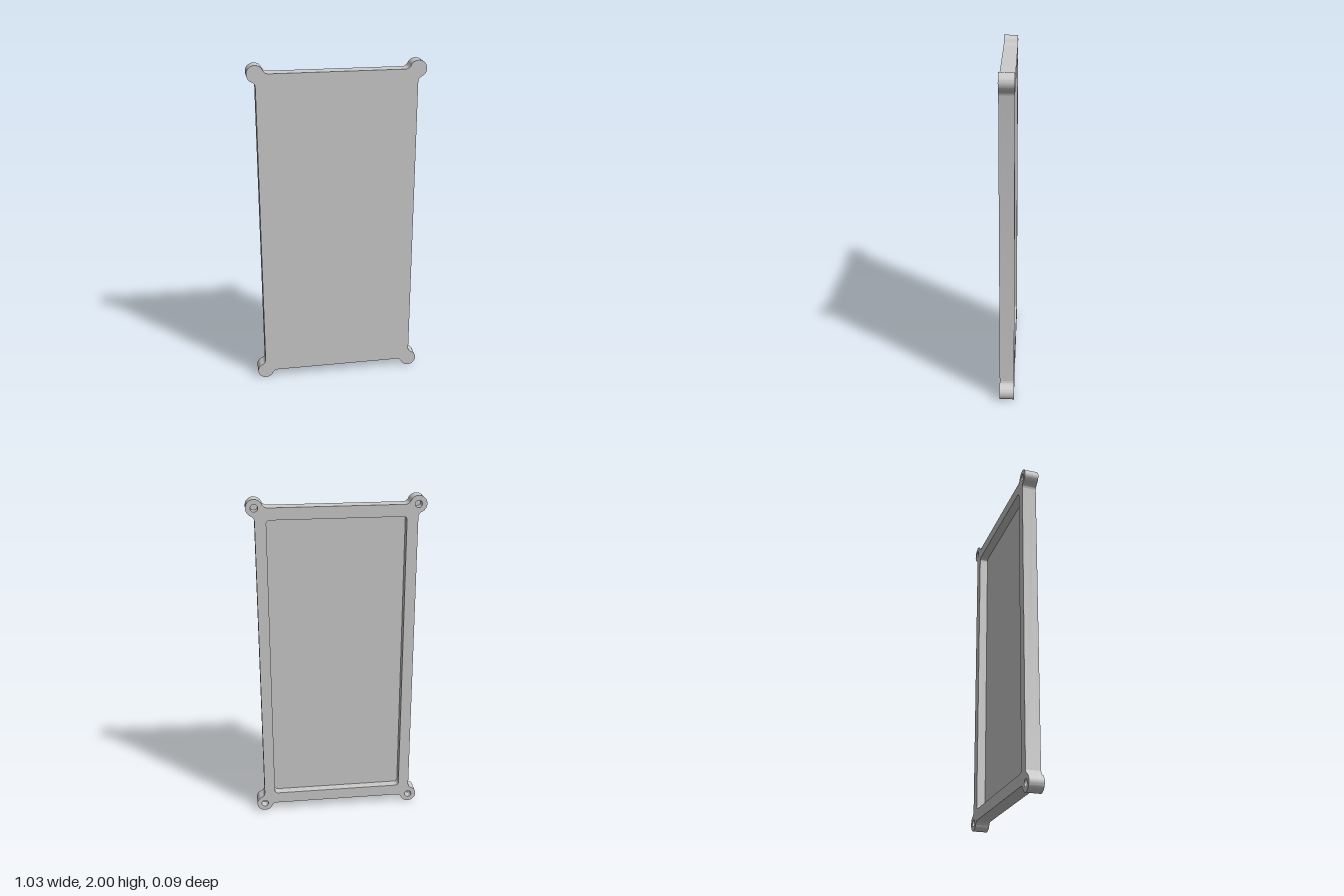
import * as THREE from 'three';
import { toCreasedNormals } from 'three/addons/utils/BufferGeometryUtils.js';

const HALF_W = 0.465, HALF_H = 0.951;   // corner positions, also the screw boss centres
const BOSS_R = 0.049, FILLET = 0.033, HOLE_R = 0.021;
const DEPTH = 0.086, RECESS = 0.052;
const RIM_X = 0.065, RIM_Y = 0.07, INNER_R = 0.02;
const CORNERS = [[1, -1], [1, 1], [-1, 1], [-1, -1]];

// Rectangle with a round boss on each corner, blended in by concave fillets
function outline() {
  const shape = new THREE.Shape();
  const d = Math.sqrt(BOSS_R * BOSS_R + 2 * BOSS_R * FILLET);
  const t = Math.atan2(FILLET, d);
  CORNERS.forEach(([sx, sy], k) => {
    const a = k * Math.PI / 2, c = Math.cos(a), s = Math.sin(a);
    const arc = (x, y, r, from, to, clockwise) => shape.absarc(
      sx * HALF_W + x * c - y * s, sy * HALF_H + x * s + y * c, r, from + a, to + a, clockwise);
    arc(-d, -FILLET, FILLET, Math.PI / 2, t, true);
    arc(0, 0, BOSS_R, Math.PI + t, 2.5 * Math.PI - t, false);
    arc(FILLET, d, FILLET, 1.5 * Math.PI - t, Math.PI, true);
  });
  shape.closePath();
  return shape;
}

// Rounded rectangular opening of the recess
function opening() {
  const path = new THREE.Path();
  const x = HALF_W - RIM_X - INNER_R, y = HALF_H - RIM_Y - INNER_R;
  CORNERS.forEach(([sx, sy], k) => {
    const a = (k - 1) * Math.PI / 2;
    path.absarc(sx * x, sy * y, INNER_R, a, a + Math.PI / 2, false);
  });
  path.closePath();
  return path;
}

function slab(name, shape, depth, z, material) {
  const geometry = new THREE.ExtrudeGeometry(shape, { depth, bevelEnabled: false, curveSegments: 20 });
  const mesh = new THREE.Mesh(toCreasedNormals(geometry, Math.PI / 5), material);
  mesh.name = name;
  mesh.position.set(0, 1, z);
  return mesh;
}

export function createModel() {
  const group = new THREE.Group();
  group.name = 'coverPanel';
  const material = new THREE.MeshStandardMaterial({ color: 0xcccccc });

  // Closed front plate; its back is the floor of the recess
  group.add(slab('frontPlate', outline(), DEPTH - RECESS, DEPTH / 2 - (DEPTH - RECESS), material));

  // Raised rim on the back, with a blind screw hole in each corner boss
  const rim = outline();
  rim.holes.push(opening());
  for (const [sx, sy] of CORNERS) {
    rim.holes.push(new THREE.Path().absarc(sx * HALF_W, sy * HALF_H, HOLE_R, 0, Math.PI * 2, true));
  }
  group.add(slab('backRim', rim, RECESS, -DEPTH / 2, material));

  return group;
}
